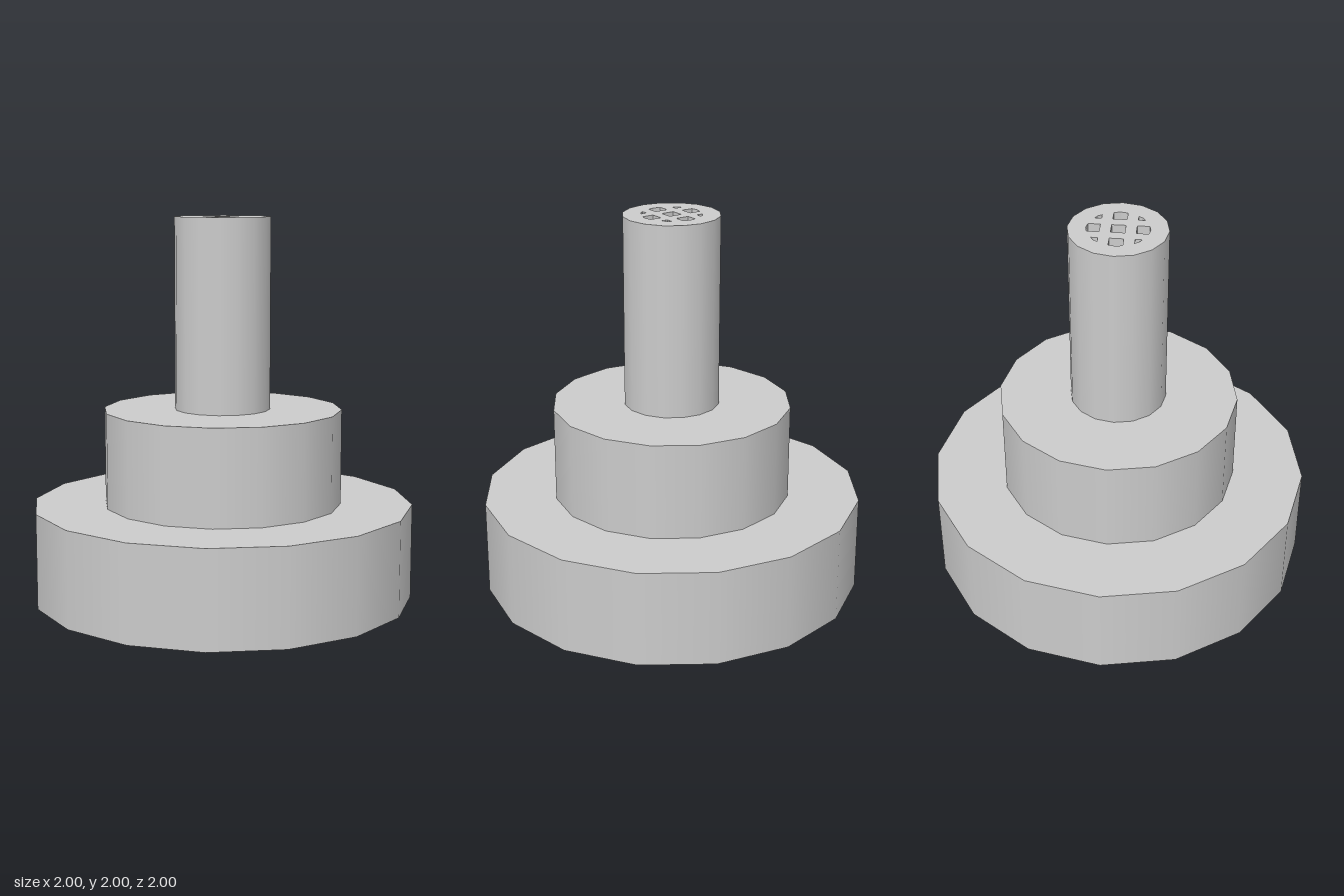
import * as THREE from 'three';

const SIDES = 16;
const PIT_DEPTH = 0.12;
const material = new THREE.MeshStandardMaterial({ color: 0xcccccc });
const pitMaterial = new THREE.MeshStandardMaterial({ color: 0xcccccc, side: THREE.DoubleSide });

function addMesh(parent, name, geometry, y, mat = material) {
  const mesh = new THREE.Mesh(geometry, mat);
  mesh.name = name;
  mesh.position.y = y;
  parent.add(mesh);
}

// flat geometry turned to face up
const faceUp = (geometry) => geometry.rotateX(-Math.PI / 2);

// corner points turned by quarter turns about the axis
const turned = (points, quarters) =>
  points.map(([x, y]) => new THREE.Vector2(x, y).rotateAround(new THREE.Vector2(), quarters * Math.PI / 2));

// upright walls around an outline, from y = 0 down to -depth
function wallGeometry(outline, depth) {
  const positions = [];
  outline.forEach((a, i) => {
    const b = outline[(i + 1) % outline.length];
    const [aTop, bTop] = [[a.x, 0, -a.y], [b.x, 0, -b.y]];
    const [aLow, bLow] = [[a.x, -depth, -a.y], [b.x, -depth, -b.y]];
    positions.push(...aTop, ...bTop, ...aLow, ...bTop, ...bLow, ...aLow);
  });
  const geometry = new THREE.BufferGeometry();
  geometry.setAttribute('position', new THREE.Float32BufferAttribute(positions, 3));
  geometry.computeVertexNormals();
  return geometry;
}

export function createModel() {
  const model = new THREE.Group();
  model.name = 'steppedPost';

  // three stacked round tiers
  const tiers = [
    { name: 'base', radius: 1, bottom: 0, top: 0.5 },
    { name: 'middleTier', radius: 0.625, bottom: 0.5, top: 1 },
    { name: 'shaft', radius: 0.25, bottom: 1, top: 2 },
  ];
  tiers.forEach(({ name, radius, bottom, top }, i) => {
    const height = top - bottom;
    addMesh(model, name, new THREE.CylinderGeometry(radius, radius, height, SIDES, 1, true), bottom + height / 2);
    const next = tiers[i + 1];
    if (next) addMesh(model, name + 'Ledge', faceUp(new THREE.RingGeometry(next.radius, radius, SIDES)), top);
  });
  addMesh(model, 'underside', new THREE.CircleGeometry(1, SIDES).rotateX(Math.PI / 2), 0);

  // grille openings: a central square, four side openings, four corner slots
  const square = [[-0.035, -0.035], [0.035, -0.035], [0.035, 0.035], [-0.035, 0.035]];
  const side = [[0.09, -0.035], [0.151, -0.035], [0.158, 0], [0.151, 0.035], [0.09, 0.035]];
  const corner = [[0.09, 0.09], [0.125, 0.09], [0.111, 0.111], [0.09, 0.125]];
  const outlines = [turned(square, 0)];
  for (let q = 0; q < 4; q++) outlines.push(turned(side, q), turned(corner, q));

  // shaft top pierced by the openings
  const rim = Array.from({ length: SIDES }, (_, i) => {
    const a = (i / SIDES) * Math.PI * 2;
    return new THREE.Vector2(Math.cos(a) * 0.25, Math.sin(a) * 0.25);
  });
  const cap = new THREE.Shape(rim);
  cap.holes = outlines.map((points) => new THREE.Path([...points].reverse()));
  addMesh(model, 'grilleTop', faceUp(new THREE.ShapeGeometry(cap)), 2);

  // recesses below the openings
  const recesses = new THREE.Group();
  recesses.name = 'grilleRecesses';
  for (const points of outlines) {
    addMesh(recesses, 'recessWalls', wallGeometry(points, PIT_DEPTH), 2, pitMaterial);
    addMesh(recesses, 'recessFloor', faceUp(new THREE.ShapeGeometry(new THREE.Shape(points))), 2 - PIT_DEPTH);
  }
  model.add(recesses);
  return model;
}
